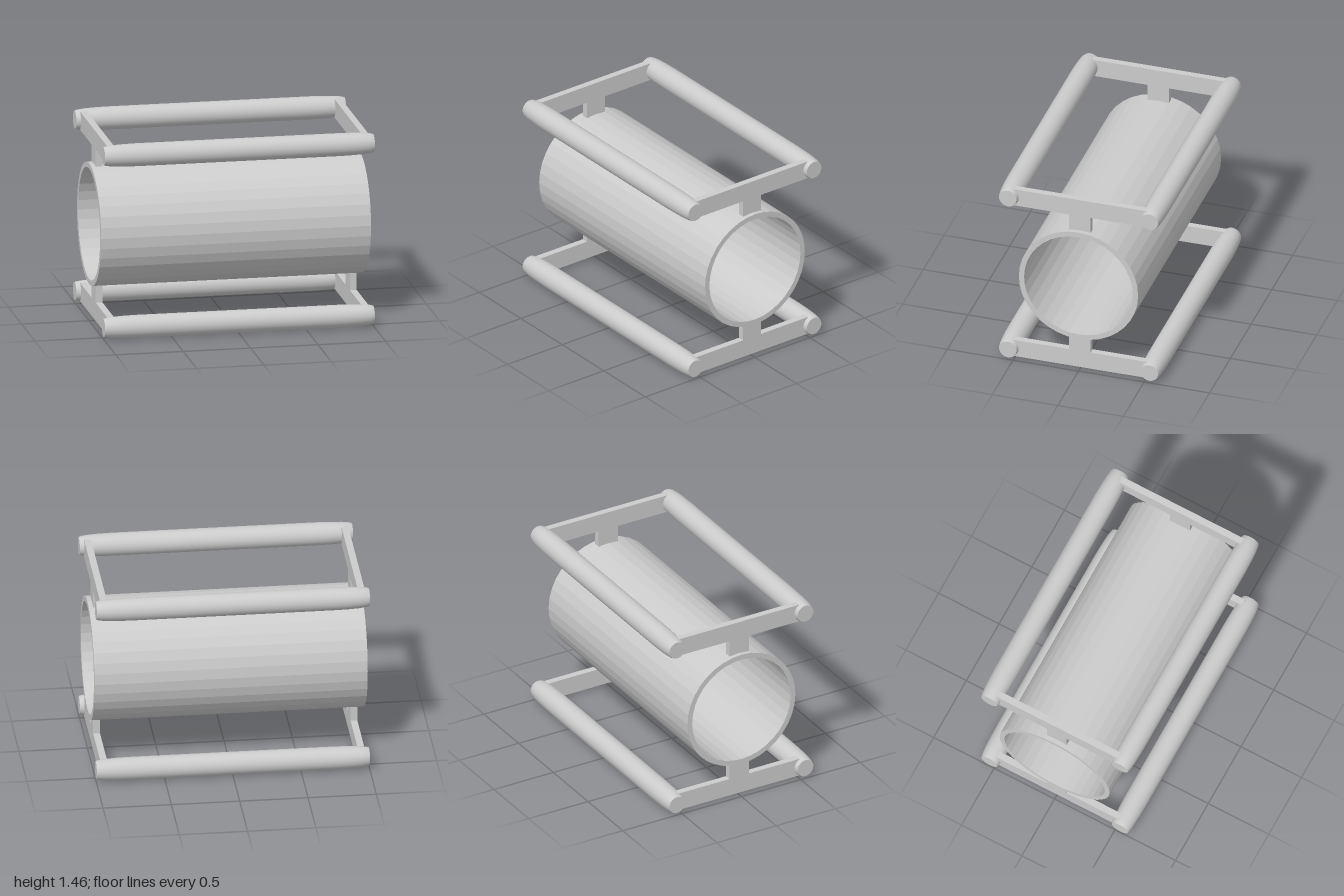
import * as THREE from 'three';
import { toCreasedNormals } from 'three/addons/utils/BufferGeometryUtils.js';

const MID_Y = 0.73;
const smooth = new THREE.MeshStandardMaterial({ color: 0xcccccc });
const faceted = new THREE.MeshStandardMaterial({ color: 0xcccccc, flatShading: true });

// Turns a profile of [radius, position] pairs around the x axis
function turned(profile, segments) {
  const points = profile.map(([r, t]) => new THREE.Vector2(r, t));
  return new THREE.LatheGeometry(points, segments).rotateZ(-Math.PI / 2);
}

function addMesh(parent, name, geometry, material, x, y, z) {
  const mesh = new THREE.Mesh(geometry, material);
  mesh.name = name;
  mesh.position.set(x, y, z);
  parent.add(mesh);
  return mesh;
}

// T-shaped plate: a stem rising from the tube to a crossbar
function bracketGeometry() {
  const thickness = 0.05;
  const outline = [
    [-0.082, 0.445], [0.082, 0.445], [0.082, 0.575], [0.51, 0.575],
    [0.51, 0.712], [-0.51, 0.712], [-0.51, 0.575], [-0.082, 0.575],
  ];
  const shape = new THREE.Shape(outline.map(([z, y]) => new THREE.Vector2(z, y)));
  return new THREE.ExtrudeGeometry(shape, { depth: thickness, bevelEnabled: false })
    .translate(0, 0, -thickness / 2)
    .rotateY(Math.PI / 2);
}

export function createModel() {
  const model = new THREE.Group();
  model.name = 'tubeFrame';

  // Hollow main tube with open ends
  const tube = turned(
    [[0.455, -1], [0.455, 1], [0.415, 1], [0.415, -1], [0.455, -1]], 36);
  addMesh(model, 'mainTube', tube, faceted, 0, MID_Y, 0);

  // Rails with gently tapered, flat-capped ends
  const half = [[0.084, 0.75], [0.082, 0.85], [0.078, 0.93], [0.072, 0.98], [0.066, 1], [0, 1]];
  const profile = [...half.map(([r, t]) => [r, -t]).reverse(), ...half];
  const rail = toCreasedNormals(turned(profile, 32), 0.6);
  const bracket = bracketGeometry();

  for (const up of [1, -1]) {
    const level = up > 0 ? 'upper' : 'lower';
    for (const side of [1, -1]) {
      addMesh(model, level + (side > 0 ? 'FrontRail' : 'BackRail'), rail, smooth,
        0, MID_Y + up * 0.645, side * 0.54);
      const plate = addMesh(model, level + (side > 0 ? 'LeftBracket' : 'RightBracket'),
        bracket, faceted, side * 0.942, MID_Y, 0);
      if (up < 0) plate.rotation.x = Math.PI;
    }
  }
  return model;
}
